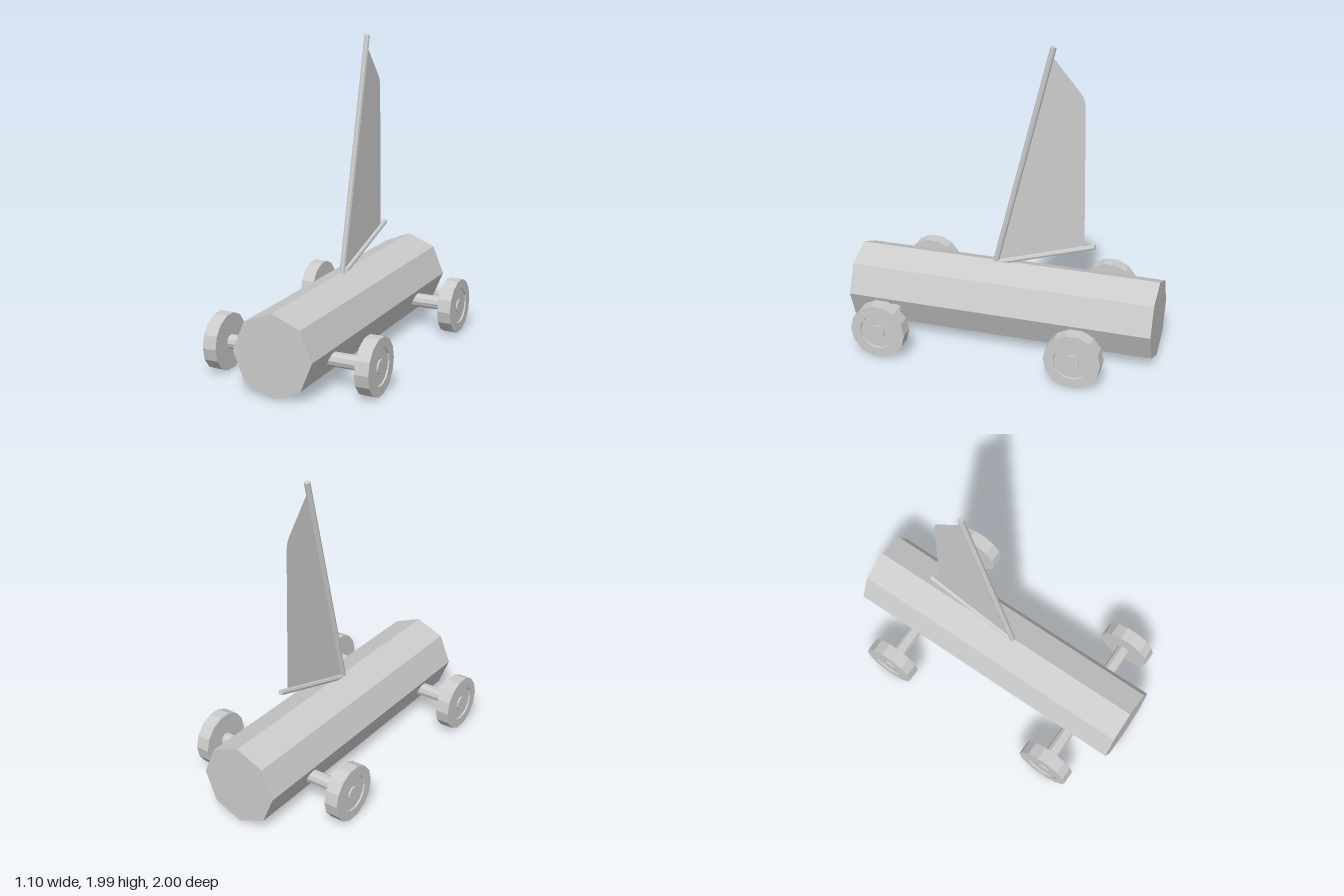
import * as THREE from 'three';

export function createModel() {
  const model = new THREE.Group();
  const grey = new THREE.MeshStandardMaterial({ color: 0xcccccc, flatShading: true });
  const cloth = new THREE.MeshStandardMaterial({ color: 0xcccccc, side: THREE.DoubleSide });

  const add = (name, geometry, material = grey) => {
    const mesh = new THREE.Mesh(geometry, material);
    mesh.name = name;
    model.add(mesh);
    return mesh;
  };

  // Straight round bar between two points
  const bar = (name, from, to, radius, sides) => {
    const a = new THREE.Vector3(...from), b = new THREE.Vector3(...to);
    const dir = b.clone().sub(a);
    const mesh = add(name, new THREE.CylinderGeometry(radius, radius, dir.length(), sides));
    mesh.position.copy(a).add(b).multiplyScalar(0.5);
    mesh.quaternion.setFromUnitVectors(new THREE.Vector3(0, 1, 0), dir.normalize());
    return mesh;
  };

  // Octagonal hull lying along z, one edge upward
  const hull = add('hull', new THREE.CylinderGeometry(0.26, 0.26, 2, 8).rotateX(Math.PI / 2));
  hull.position.y = 0.262;

  // Wheel profile (radius, height): flat back, shallow dish and hub on the outer face
  const profile = [
    [0, -0.045], [0.18, -0.045], [0.18, 0.045], [0.116, 0.045],
    [0.114, 0.035], [0.046, 0.035], [0.045, 0.045], [0, 0.045],
  ].map(([r, h]) => new THREE.Vector2(r, h));
  const wheelGeometry = new THREE.LatheGeometry(profile, 14).rotateZ(-Math.PI / 2);

  // Axles with a wheel at each end
  for (const [place, z] of [['front', 0.69], ['rear', -0.575]]) {
    bar(place + 'Axle', [-0.47, 0.185, z], [0.47, 0.185, z], 0.045, 10);
    for (const side of [-1, 1]) {
      const wheel = add(place + (side > 0 ? 'Left' : 'Right') + 'Wheel', wheelGeometry);
      wheel.position.set(side * 0.505, 0.185, z);
      if (side < 0) wheel.rotation.y = Math.PI;
    }
  }

  // Raked mast and rising boom
  const x = -0.003;
  bar('mast', [x, 0.48, 0.085], [x, 1.984, -0.288], 0.019, 8);
  bar('boom', [x, 0.508, 0.06], [x, 0.706, -0.577], 0.018, 8);

  // Sail drawn as (-z, y), then turned into the centre plane
  const outline = new THREE.Shape();
  outline.moveTo(-0.06, 0.52);
  outline.lineTo(0.508, 0.69);
  outline.lineTo(0.492, 1.62);
  outline.quadraticCurveTo(0.491, 1.68, 0.455, 1.717);
  outline.lineTo(0.285, 1.92);
  outline.closePath();
  const sail = add('sail', new THREE.ShapeGeometry(outline, 6).rotateY(Math.PI / 2), cloth);
  sail.position.x = x;

  return model;
}
